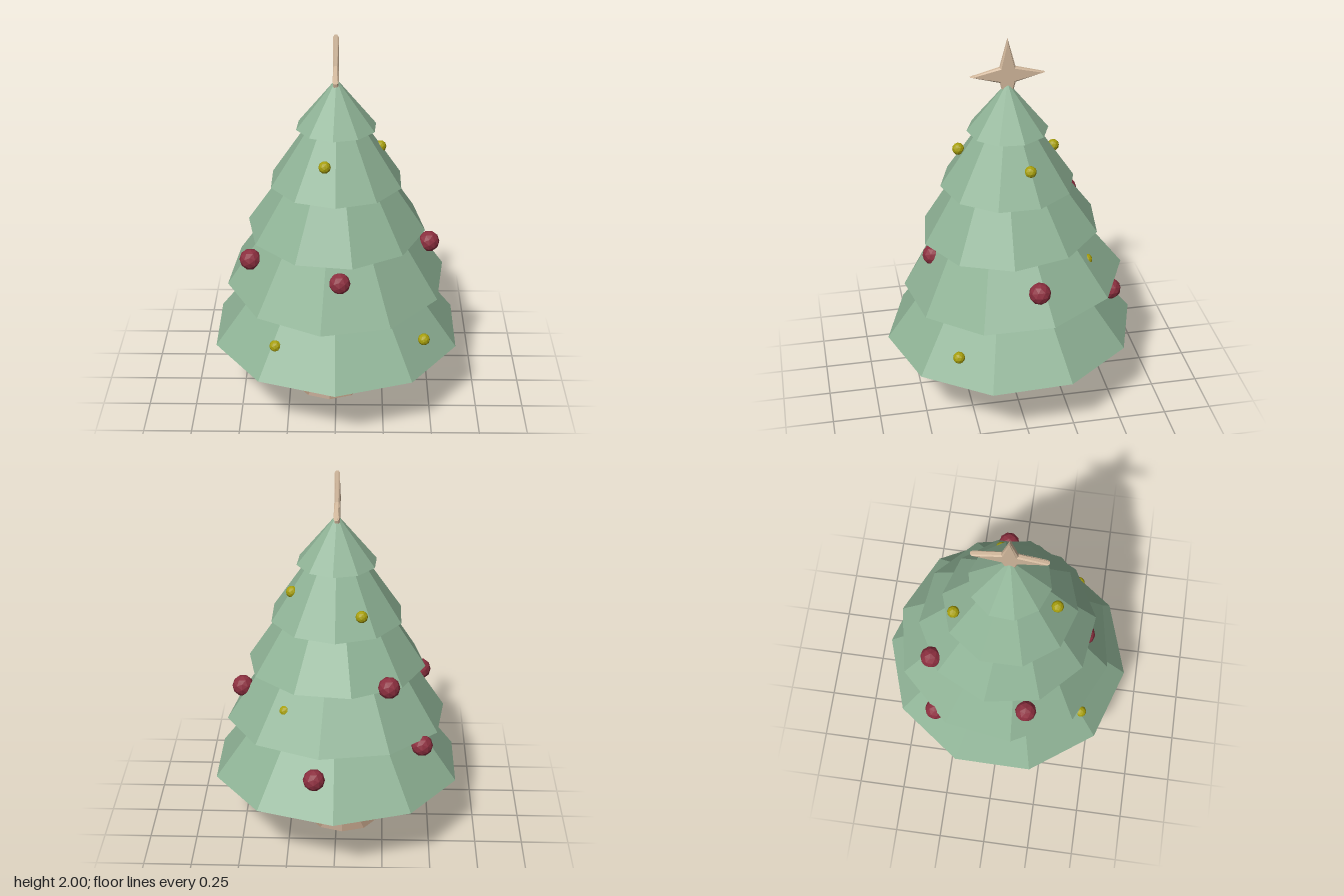
import * as THREE from 'three';

const material = (color) => new THREE.MeshStandardMaterial({ color, flatShading: true });

export function createModel() {
  const tree = new THREE.Group();
  const green = material(0x8fb396);
  const wood = material(0x9a806a);
  const gold = material(0xd2b89c);
  const red = material(0x8c2f3f);
  const yellow = material(0xa8a00c);

  const add = (name, geometry, mat, x, y, z) => {
    const mesh = new THREE.Mesh(geometry, mat);
    mesh.name = name;
    mesh.position.set(x, y, z);
    tree.add(mesh);
    return mesh;
  };

  // Flared foot and ten-sided trunk, slightly off centre
  const foot = new THREE.CylinderGeometry(0.06, 0.2, 0.1, 10).translate(0, 0.05, 0);
  add('foot', foot, wood, -0.034, 0.008, 0).rotation.x = 0.036;
  add('trunk', new THREE.CylinderGeometry(0.06, 0.06, 0.4, 10), wood, -0.032, 0.27, 0.011);

  // Foliage cones from bottom to top: radius, height, base y, base z, tilt, turn
  const tiers = [
    [0.665, 0.88, 0.353, 0, 0.034, 0],
    [0.58, 0.87, 0.665, -0.016, 0.087, -0.127],
    [0.465, 0.7, 0.963, 0, 0.05, 0.183],
    [0.347, 0.52, 1.225, 0.012, 0, 0],
    [0.207, 0.255, 1.518, 0.011, 0, -0.07],
  ];
  tiers.forEach(([r, h, y, z, tilt, turn], i) => {
    const cone = new THREE.ConeGeometry(r, h, 10).translate(0, h / 2, 0);
    add(`foliageTier${i + 1}`, cone, green, 0, y, z).rotation.set(tilt, turn, 0);
  });

  // Large and small baubles
  const baubles = (name, radius, mat, places) => {
    const ball = new THREE.IcosahedronGeometry(radius, 1);
    places.forEach((p) => add(name, ball, mat, ...p));
  };
  baubles('redBauble', 0.056, red, [
    [-0.443, 0.835, 0.155],
    [0.02, 0.835, 0.41],
    [0.49, 0.835, -0.06],
    [-0.27, 1.0, -0.363],
    [0.1, 0.56, -0.533],
    [-0.445, 0.65, -0.33],
  ]);
  baubles('yellowBauble', 0.031, yellow, [
    [-0.055, 1.4, 0.255],
    [0.225, 1.38, -0.062],
    [-0.13, 1.337, -0.255],
    [-0.305, 0.49, 0.445],
    [0.455, 0.475, 0.348],
    [0.25, 0.855, -0.355],
  ]);

  // Four-pointed star standing in the side plane, with thin bevelled edges
  const outline = new THREE.Shape();
  for (let i = 0; i < 8; i++) {
    const a = (i * Math.PI) / 4;
    const r = i % 2 ? 0.056 : 0.187;
    outline[i ? 'lineTo' : 'moveTo'](Math.sin(a) * r, Math.cos(a) * r);
  }
  outline.closePath();
  const starShape = new THREE.ExtrudeGeometry(outline, {
    depth: 0.014, bevelEnabled: true, bevelSegments: 1,
    bevelSize: 0.008, bevelOffset: -0.008, bevelThickness: 0.007,
  }).translate(0, 0, -0.007).rotateY(Math.PI / 2);
  add('star', starShape, gold, -0.002, 1.812, 0.01);

  return tree;
}
